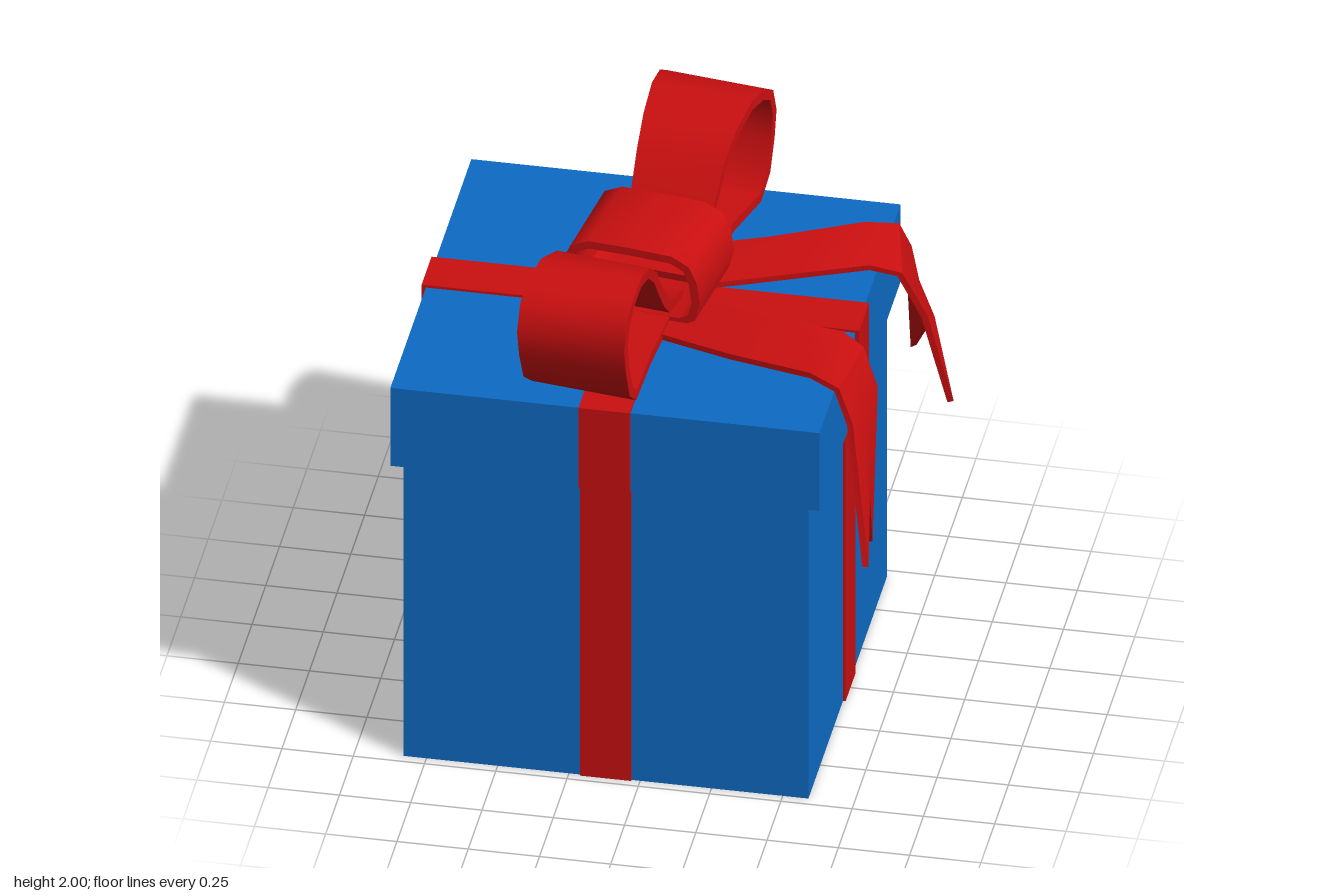
import * as THREE from 'three';
import { toCreasedNormals } from 'three/addons/utils/BufferGeometryUtils.js';

const blue = new THREE.MeshStandardMaterial({ color: 0x0d6bc4 });
blue.name = 'blue card';
const red = new THREE.MeshStandardMaterial({ color: 0xca0f10 });
red.name = 'red ribbon';

const V = (x, y, z) => new THREE.Vector3(x, y, z);

function addMesh(parent, name, geometry, material) {
  const mesh = new THREE.Mesh(geometry, material);
  mesh.name = name;
  parent.add(mesh);
  return mesh;
}

// Box given by its size, base height and the shared box centre
const CX = -0.12;
function addBox(parent, name, w, y0, y1, d, material) {
  const mesh = addMesh(parent, name, new THREE.BoxGeometry(w, y1 - y0, d), material);
  mesh.position.set(CX, (y0 + y1) / 2, 0);
}

// Thick ribbon through a grid of points: rows run along it, columns across it
function ribbon(rows, thickness) {
  const n = rows.length, m = rows[0].length;
  const at = (i, j) => rows[Math.min(Math.max(i, 0), n - 1)][Math.min(Math.max(j, 0), m - 1)];
  const shell = (side) => rows.map((row, i) => row.map((p, j) => {
    const along = at(i + 1, j).clone().sub(at(i - 1, j));
    const across = at(i, j + 1).clone().sub(at(i, j - 1));
    return along.cross(across).normalize().multiplyScalar(side * thickness / 2).add(p);
  }));
  const top = shell(1), bottom = shell(-1), out = [];
  const quad = (a, b, c, d) => [a, b, c, a, c, d].forEach((p) => out.push(p.x, p.y, p.z));
  const edge = (i, j, k, l) => quad(bottom[i][j], bottom[k][l], top[k][l], top[i][j]);
  for (let i = 0; i < n - 1; i++) {
    for (let j = 0; j < m - 1; j++) {
      quad(top[i][j], top[i + 1][j], top[i + 1][j + 1], top[i][j + 1]);
      quad(bottom[i][j], bottom[i][j + 1], bottom[i + 1][j + 1], bottom[i + 1][j]);
    }
    edge(i, 0, i + 1, 0);
    edge(i + 1, m - 1, i, m - 1);
  }
  for (let j = 0; j < m - 1; j++) {
    edge(n - 1, j, n - 1, j + 1);
    edge(0, j + 1, 0, j);
  }
  const geometry = new THREE.BufferGeometry();
  geometry.setAttribute('position', new THREE.Float32BufferAttribute(out, 3));
  return toCreasedNormals(geometry, 0.75);
}

// Tail: pairs of edge points, then a forked end (tip, notch, tip)
function tail(pairs, fork) {
  const rows = pairs.map(([a, b]) => {
    const p = V(...a), q = V(...b);
    return [p, p.clone().lerp(q, 0.5), q];
  });
  rows.push(fork.map((p) => V(...p)));
  return rows;
}

export function createModel() {
  const model = new THREE.Group();
  model.name = 'giftBox';

  // Box, lid and the flat bands around them
  addBox(model, 'boxBody', 1.42, 0, 1.2, 1.43, blue);
  addBox(model, 'lid', 1.505, 1.2, 1.52, 1.47, blue);
  addBox(model, 'bodyBandAcross', 1.44, 0.002, 1.199, 0.18, red);
  addBox(model, 'bodyBandFrontToBack', 0.18, 0.002, 1.199, 1.45, red);
  addBox(model, 'lidBandAcross', 1.535, 1.201, 1.53, 0.18, red);
  addBox(model, 'lidBandFrontToBack', 0.18, 1.201, 1.529, 1.5, red);

  // Bow, turned slightly on the lid
  const bow = new THREE.Group();
  bow.name = 'bow';
  bow.position.x = -0.115;
  bow.rotation.y = THREE.MathUtils.degToRad(-8);
  model.add(bow);

  // Two mirrored loops that widen outward: [z, y]
  const loopProfile = [
    [0.04, 1.59], [0.17, 1.61], [0.22, 1.66], [0.29, 1.75], [0.37, 1.86], [0.47, 1.94],
    [0.59, 1.98], [0.69, 1.965], [0.76, 1.92], [0.79, 1.83], [0.77, 1.73], [0.73, 1.62],
    [0.66, 1.56], [0.45, 1.57], [0.2, 1.56], [0.04, 1.56],
  ];
  const loopRows = loopProfile.map(([z, y]) => {
    const half = 0.145 + 0.05 * THREE.MathUtils.smoothstep(z, 0.15, 0.8);
    return [V(-half, y, z), V(half, y, z)];
  }).reverse();
  const loopGeometry = ribbon(loopRows, 0.038);
  addMesh(bow, 'frontLoop', loopGeometry, red);
  addMesh(bow, 'backLoop', loopGeometry, red).rotation.y = Math.PI;

  // Knot band: closed rounded profile [x, y]
  const knotProfile = [
    [0, 1.565], [0.18, 1.565], [0.225, 1.59], [0.24, 1.65], [0.23, 1.73], [0.205, 1.785],
    [0.15, 1.812], [0, 1.815], [-0.15, 1.812], [-0.205, 1.785], [-0.23, 1.73],
    [-0.24, 1.65], [-0.225, 1.59], [-0.18, 1.565], [0, 1.565],
  ];
  const knotRows = knotProfile.map(([x, y]) => [V(x, y, 0.182), V(x, y, -0.182)]).reverse();
  addMesh(bow, 'knot', ribbon(knotRows, 0.03), red);

  // Loose tails draped over the left side of the lid
  const frontTail = tail([
    [[-0.05, 1.55, 0], [-0.1, 1.55, 0.26]],
    [[0.3, 1.56, 0.115], [0.25, 1.56, 0.38]],
    [[0.61, 1.58, 0.195], [0.55, 1.58, 0.475]],
    [[0.68, 1.55, 0.225], [0.65, 1.555, 0.51]],
    [[0.735, 1.42, 0.26], [0.7, 1.43, 0.53]],
  ], [[0.74, 0.865, 0.385], [0.75, 1.1, 0.48], [0.785, 0.96, 0.69]]);
  const backTail = tail([
    [[-0.05, 1.55, 0], [-0.1, 1.55, -0.25]],
    [[0.3, 1.56, -0.13], [0.25, 1.57, -0.36]],
    [[0.62, 1.575, -0.24], [0.56, 1.605, -0.46]],
    [[0.72, 1.54, -0.27], [0.66, 1.57, -0.53]],
    [[0.8, 1.36, -0.3], [0.69, 1.45, -0.585]],
  ], [[0.875, 0.96, -0.39], [0.79, 1.23, -0.49], [0.695, 1.0, -0.65]]);
  addMesh(model, 'frontTail', ribbon(frontTail, 0.022), red);
  addMesh(model, 'backTail', ribbon(backTail, 0.022), red);

  return model;
}
